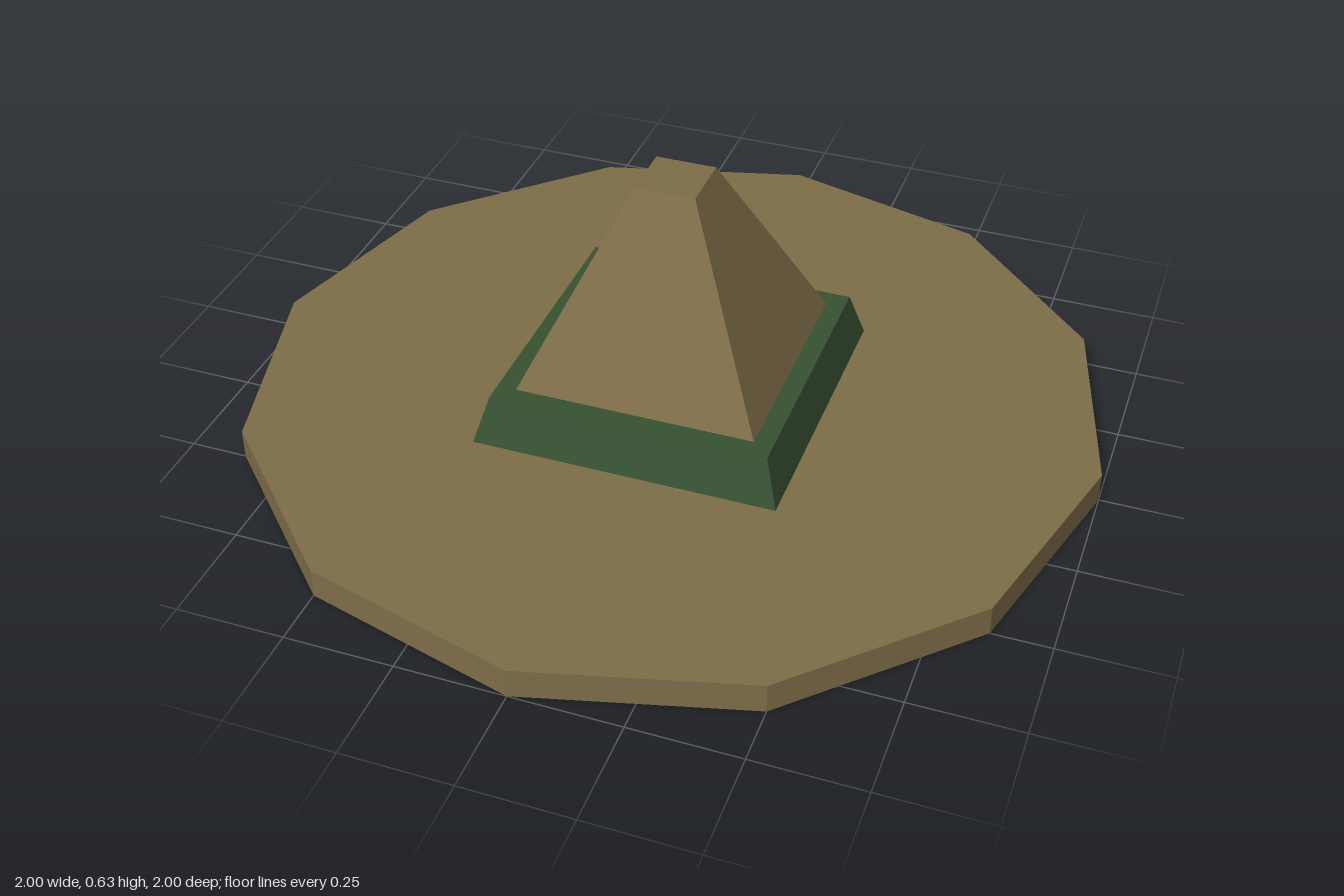
import * as THREE from 'three';

export function createModel() {
  const group = new THREE.Group();
  group.name = 'hat';

  const material = (name, color) => {
    const m = new THREE.MeshStandardMaterial({ color, flatShading: true });
    m.name = name;
    return m;
  };
  const felt = material('brown felt', 0x7e6d49);
  const ribbon = material('green ribbon', 0x385232);
  const bead = material('brown bead', 0x7a6247);

  const add = (name, geometry, mat) => {
    const mesh = new THREE.Mesh(geometry, mat);
    mesh.name = name;
    group.add(mesh);
    return mesh;
  };

  // Square frustum given by its half widths and its bottom and top heights
  const frustum = (bottom, top, y0, y1) =>
    new THREE.CylinderGeometry(top * Math.SQRT2, bottom * Math.SQRT2, y1 - y0, 4)
      .rotateY(Math.PI / 4)
      .translate(0, (y0 + y1) / 2, 0);

  // Twelve-sided flat brim
  add('brim', new THREE.CylinderGeometry(1, 1, 0.07, 12).translate(0, 0.035, 0), felt);

  // Tapered crown, running down through the band to the brim
  add('crown', frustum(0.332, 0.07, 0.07, 0.635), felt);

  // Band around the foot of the crown
  add('band', frustum(0.357, 0.325, 0.07, 0.182), ribbon);

  // Flattened five-sided bead on the back of the band
  const ornament = new THREE.SphereGeometry(0.067, 5, 3)
    .rotateY(-Math.PI / 2)
    .scale(0.98, 1, 0.476);
  add('ornament', ornament, bead).position.set(0, 0.137, -0.367);

  return group;
}
